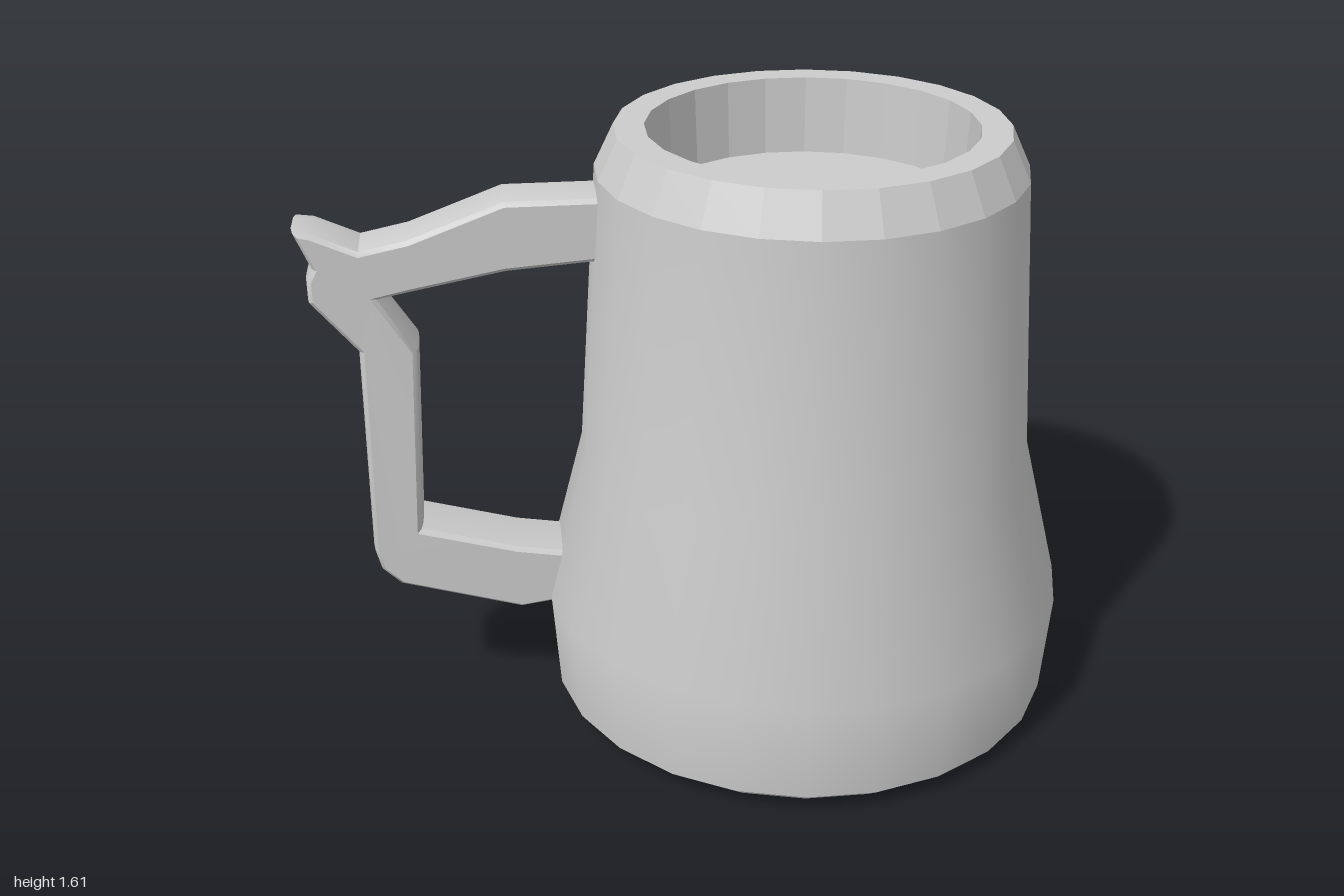
import * as THREE from 'three';
import { toCreasedNormals } from 'three/addons/utils/BufferGeometryUtils.js';

const SIDES = 24;
const CUP_X = 0.3;
const points = (list) => list.map(([x, y]) => new THREE.Vector2(x, y));

// One turned band of the mug, faceted or smooth
function band(name, profile, flatShading) {
  const geometry = new THREE.LatheGeometry(points(profile), SIDES, Math.PI / SIDES);
  const mesh = new THREE.Mesh(geometry, new THREE.MeshStandardMaterial({ color: 0xcccccc, flatShading }));
  mesh.name = name;
  mesh.position.x = CUP_X;
  return mesh;
}

// Bevelled handle with a thumb rest, a little wider along its lower arm
function makeHandle() {
  const outline = new THREE.Shape(points([
    // top arm and thumb rest
    [-0.2, 1.46], [-0.48, 1.46], [-0.72, 1.37], [-0.84, 1.345], [-0.95, 1.395], [-1, 1.4],
    [-0.96, 1.3], [-0.975, 1.27], [-0.975, 1.21],
    // outside of the grip and lower arm
    [-0.86, 1.07], [-0.865, 0.5], [-0.85, 0.44], [-0.8, 0.39], [-0.48, 0.295], [-0.3, 0.32],
    // inside of the loop
    [-0.3, 0.46], [-0.48, 0.49], [-0.73, 0.56], [-0.71, 1.07], [-0.8, 1.21], [-0.72, 1.225],
    [-0.48, 1.27], [-0.2, 1.29],
  ]));
  const geometry = new THREE.ExtrudeGeometry(outline, {
    depth: 0.08, bevelThickness: 0.04, bevelSize: 0.015, bevelOffset: -0.015, bevelSegments: 2,
  });
  geometry.translate(0, 0, -0.04);
  const p = geometry.attributes.position;
  for (let i = 0; i < p.count; i++) {
    if (p.getY(i) < 0.6) p.setZ(i, p.getZ(i) * 1.15);
  }
  const mesh = new THREE.Mesh(
    toCreasedNormals(geometry, 0.5),
    new THREE.MeshStandardMaterial({ color: 0xcccccc }),
  );
  mesh.name = 'handle';
  return mesh;
}

export function createModel() {
  const mug = new THREE.Group();
  mug.name = 'mug';
  mug.add(
    band('base', [[0, 0], [0.625, 0]], true),
    band('baseBevel', [[0.625, 0], [0.685, 0.05]], true),
    band('outerWall', [[0.685, 0.05], [0.705, 0.33], [0.6, 0.74], [0.55, 1.5]], false),
    band('rimBevel', [[0.55, 1.5], [0.5, 1.605]], true),
    band('rim', [[0.5, 1.605], [0.422, 1.605]], true),
    band('innerWall', [[0.422, 1.605], [0.412, 1.4]], true),
    band('innerFloor', [[0.412, 1.4], [0, 1.4]], true),
    makeHandle(),
  );
  return mug;
}
